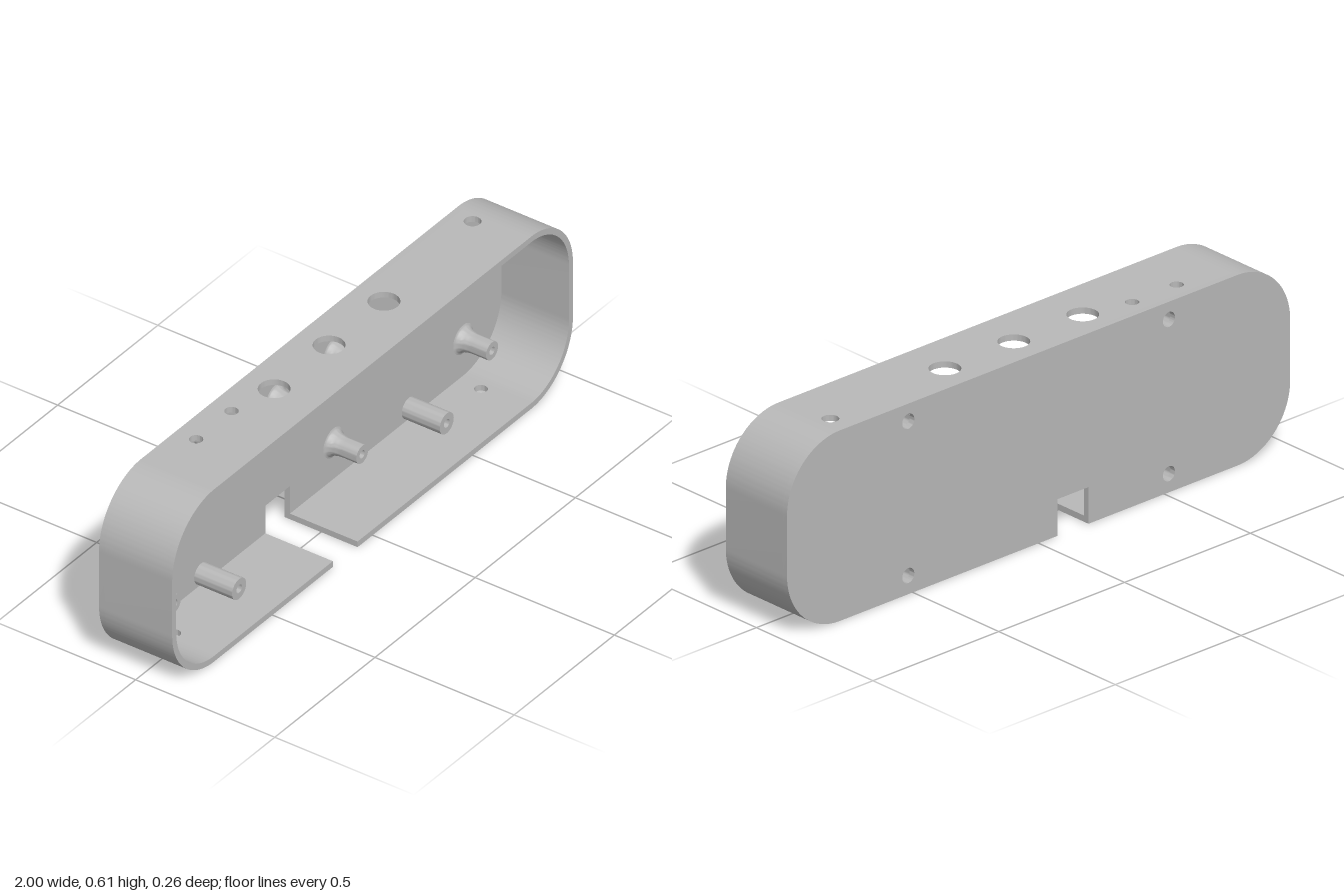
import * as THREE from 'three';
import { toCreasedNormals } from 'three/addons/utils/BufferGeometryUtils.js';

const H = 0.613, D = 0.1315, R = 0.21, WALL = 0.02;
const FLAT = 1 - R;                      // half length of the straight edges
const FLOOR = -D + WALL;                 // inner face of the back plate
const NOTCH = { x0: -0.198, x1: -0.075, top: 0.118 };

export function createModel() {
  const group = new THREE.Group();
  const grey = new THREE.MeshStandardMaterial({ color: 0xb8b8b8 });
  grey.name = 'grey plastic';

  function add(name, geometry) {
    const mesh = new THREE.Mesh(toCreasedNormals(geometry, 0.5), grey);
    mesh.name = name;
    group.add(mesh);
    return mesh;
  }
  const extrude = (shape, depth) =>
    new THREE.ExtrudeGeometry(shape, { depth, bevelEnabled: false, curveSegments: 24 });
  function punch(shape, x, y, r) {
    const hole = new THREE.Path();
    hole.absarc(x, y, r, 0, Math.PI * 2, true);
    shape.holes.push(hole);
  }

  // Back plate with rounded corners, cable notch and screw holes
  const screws = [[-0.518, 0.06], [0.518, 0.06], [-0.518, 0.556], [0.518, 0.556]];
  const plate = new THREE.Shape();
  plate.moveTo(-FLAT, 0);
  plate.lineTo(NOTCH.x0, 0);
  plate.lineTo(NOTCH.x0, NOTCH.top);
  plate.lineTo(NOTCH.x1, NOTCH.top);
  plate.lineTo(NOTCH.x1, 0);
  plate.lineTo(FLAT, 0);
  plate.absarc(FLAT, R, R, -Math.PI / 2, 0, false);
  plate.absarc(FLAT, H - R, R, 0, Math.PI / 2, false);
  plate.absarc(-FLAT, H - R, R, Math.PI / 2, Math.PI, false);
  plate.absarc(-FLAT, R, R, Math.PI, Math.PI * 1.5, false);
  for (const [x, y] of screws) punch(plate, x, y, 0.024);
  add('backPlate', extrude(plate, WALL)).position.z = -D;

  // Rounded end walls
  for (const [s, name] of [[1, 'leftEndWall'], [-1, 'rightEndWall']]) {
    const a = (t) => (s > 0 ? t : Math.PI - t);
    const q = Math.PI / 2, r = R - WALL, cw = s < 0;
    const end = new THREE.Shape();
    end.moveTo(s * FLAT, 0);
    end.absarc(s * FLAT, R, R, a(-q), a(0), cw);
    end.absarc(s * FLAT, H - R, R, a(0), a(q), cw);
    end.lineTo(s * FLAT, H - WALL);
    end.absarc(s * FLAT, H - R, r, a(q), a(0), !cw);
    end.absarc(s * FLAT, R, r, a(0), a(-q), !cw);
    end.closePath();
    add(name, extrude(end, D - FLOOR)).position.z = FLOOR;
  }

  // Straight walls: holes are given as [x, z, radius]
  function straightWall(name, x0, x1, y, holes) {
    const panel = new THREE.Shape();
    panel.moveTo(x0, -D);
    panel.lineTo(x1, -D);
    panel.lineTo(x1, -FLOOR);
    panel.lineTo(x0, -FLOOR);
    panel.closePath();
    for (const [x, z, r] of holes) punch(panel, x, -z, r);
    add(name, extrude(panel, WALL).rotateX(-Math.PI / 2)).position.y = y;
  }
  straightWall('topWall', -FLAT, FLAT, H - WALL, [
    [-0.615, -0.06, 0.021], [-0.438, -0.06, 0.021],
    [-0.274, -0.025, 0.048], [0, -0.025, 0.048], [0.274, -0.025, 0.048],
    [0.755, -0.053, 0.026],
  ]);
  straightWall('bottomWallRight', -FLAT, NOTCH.x0, 0, [[-0.765, -0.03, 0.02]]);
  straightWall('bottomWallLeft', NOTCH.x1, FLAT, 0, [[0.765, -0.03, 0.02]]);

  // Turned posts: profile of [radius, z] pairs, revolved around z
  function posts(name, places, profile) {
    const points = profile.map(([r, z]) => new THREE.Vector2(r, z));
    const geometry = new THREE.LatheGeometry(points, 40).rotateX(Math.PI / 2);
    for (const [x, y] of places) add(name, geometry).position.set(x, y, 0);
  }

  // Hollow screw posts, counterbored from the back
  posts('screwPost', screws, [
    [0.035, FLOOR], [0.035, 0.025], [0.014, 0.025], [0.014, -0.005],
    [0.024, -0.005], [0.024, FLOOR],
  ]);

  // Flared board standoffs with a blind pilot hole
  const flare = [];
  for (let i = 0; i <= 8; i++) {
    const t = (i / 8) * Math.PI / 2;
    flare.push([0.03 + 0.02 * (1 - Math.sin(t)), FLOOR + 0.05 * (1 - Math.cos(t))]);
  }
  posts('boardStandoff', [
    [-0.793, 0.47], [-0.146, 0.47], [0.142, 0.47], [0.79, 0.47],
    [-0.793, 0.15], [0.142, 0.15], [0.79, 0.15],
  ], [...flare, [0.03, -0.008], [0.013, -0.008], [0.013, -0.08], [0, -0.08]]);

  return group;
}
